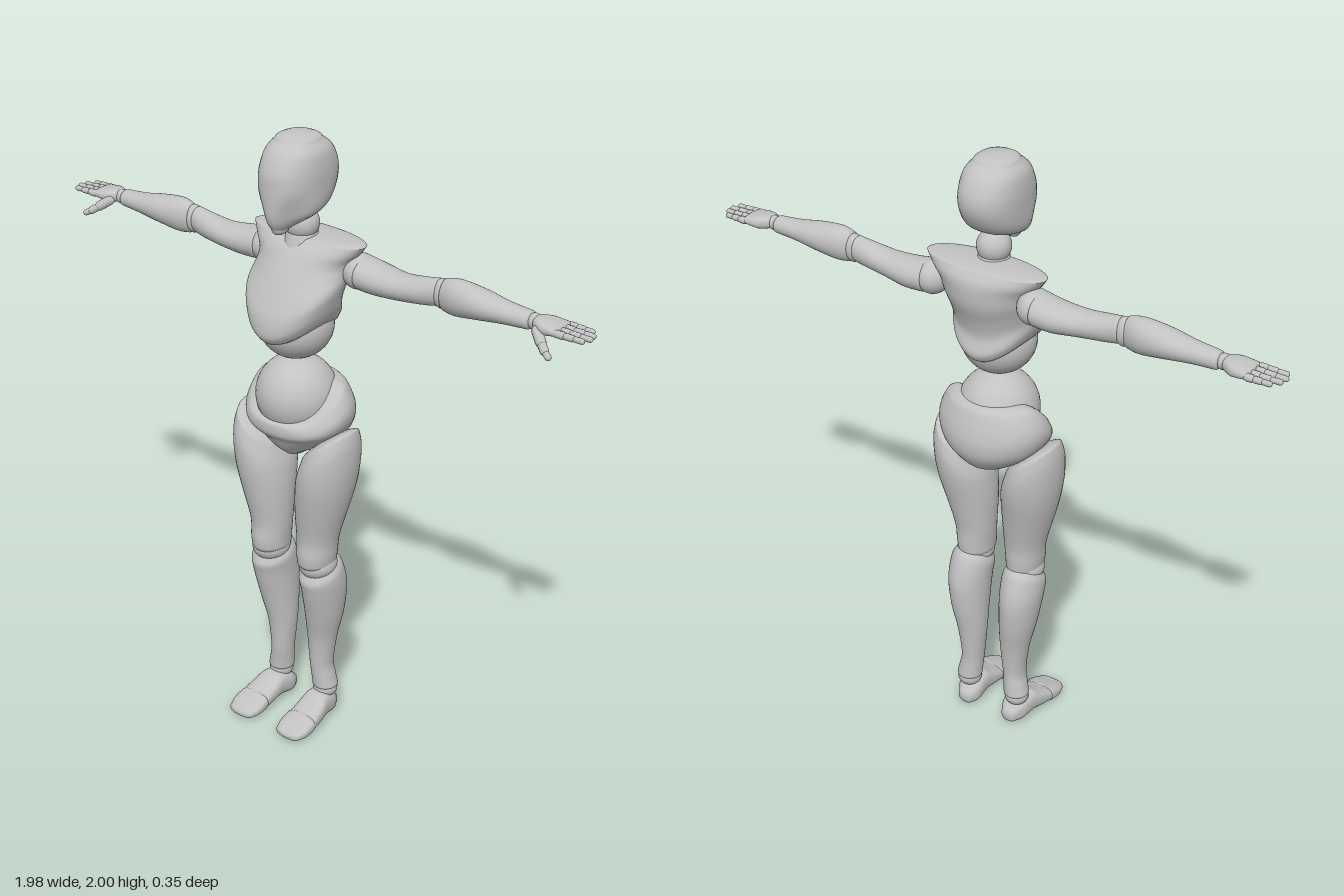
import * as THREE from 'three';

const clay = new THREE.MeshStandardMaterial({ color: 0xc2c2c2 });
clay.name = 'lightGreyClay';

const clamp = THREE.MathUtils.clamp;
const smooth = THREE.MathUtils.smoothstep;

// Smooth value between neighbouring sections
function spline(rows, k, u) {
  const i = Math.min(Math.floor(u), rows.length - 2), f = u - i;
  const at = (n) => rows[clamp(n, 0, rows.length - 1)][k];
  const p0 = at(i - 1), p1 = at(i), p2 = at(i + 1), p3 = at(i + 2);
  return p1 + 0.5 * f * (p2 - p0 + f * (2 * p0 - 5 * p1 + 4 * p2 - p3 + f * (3 * (p1 - p2) + p3 - p0)));
}

// Closed smooth body from sections [t, aMin, aMax, bMin, bMax] with rising t.
// axis y: a = x, b = z;  axis x: a = z, b = y;  axis z: a = y, b = x
function loft(rows, { axis = 'y', cap = 0.02, power = 2, sides = 40, steps = 6, warp } = {}) {
  const rings = [];
  const n = (rows.length - 1) * steps;
  const ring = (u, dt, s) => {
    const [t, a0, a1, b0, b1] = [0, 1, 2, 3, 4].map((k) => spline(rows, k, u));
    rings.push([t + dt, (a0 + a1) / 2, s * (a1 - a0) / 2, (b0 + b1) / 2, s * (b1 - b0) / 2]);
  };
  const dome = [0.02, 0.35, 0.65, 0.87, 0.97];
  for (const s of dome) ring(0, -cap * Math.sqrt(1 - s * s), s);
  for (let i = 0; i <= n; i++) ring(i / steps, 0, 1);
  for (const s of dome.slice().reverse()) ring(rows.length - 1, cap * Math.sqrt(1 - s * s), s);

  const pos = [], idx = [];
  const bend = (v) => Math.sign(v) * Math.abs(v) ** (2 / power);
  const v = new THREE.Vector3();
  for (const [t, ca, ra, cb, rb] of rings) {
    for (let j = 0; j < sides; j++) {
      const q = (j / sides) * Math.PI * 2;
      const a = ca + ra * bend(Math.cos(q)), b = cb + rb * bend(Math.sin(q));
      if (axis === 'y') v.set(a, t, b);
      else if (axis === 'x') v.set(t, b, a);
      else v.set(b, a, t);
      if (warp) warp(v);
      pos.push(v.x, v.y, v.z);
    }
  }
  for (let i = 0; i < rings.length - 1; i++) {
    for (let j = 0; j < sides; j++) {
      const k = (j + 1) % sides, p = i * sides, q = p + sides;
      idx.push(p + j, q + j, p + k, p + k, q + j, q + k);
    }
  }
  const last = (rings.length - 1) * sides;
  for (let j = 1; j < sides - 1; j++) idx.push(0, j, j + 1, last, last + j + 1, last + j);
  const g = new THREE.BufferGeometry();
  g.setAttribute('position', new THREE.Float32BufferAttribute(pos, 3));
  g.setIndex(idx);
  g.computeVertexNormals();
  return g;
}

function ball(x, y, z, rx, ry = rx, rz = rx) {
  return new THREE.SphereGeometry(1, 36, 24).scale(rx, ry, rz).translate(x, y, z);
}

// Capsule between two points
function bone(from, to, r) {
  const a = new THREE.Vector3(...from), b = new THREE.Vector3(...to), d = b.clone().sub(a);
  const g = new THREE.CapsuleGeometry(r, d.length(), 5, 12);
  g.applyQuaternion(new THREE.Quaternion().setFromUnitVectors(new THREE.Vector3(0, 1, 0), d.normalize()));
  return g.translate(...a.add(b).multiplyScalar(0.5).toArray());
}

function mirrored(geometry) {
  const g = geometry.clone().scale(-1, 1, 1);
  const i = g.index.array;
  for (let k = 0; k < i.length; k += 3) [i[k], i[k + 1]] = [i[k + 1], i[k]];
  return g;
}

export function createModel() {
  const model = new THREE.Group();
  model.name = 'jointedFigure';
  const add = (name, g) => {
    const m = new THREE.Mesh(g, clay);
    m.name = name;
    model.add(m);
  };
  const pair = (name, g) => {
    add(name + 'Left', g);
    add(name + 'Right', mirrored(g));
  };

  // Head: round skull with flat sides, face tapering to a narrow chin
  add('head', loft([
    [1.725, -0.03, 0.03, 0.045, 0.1], [1.745, -0.055, 0.055, 0, 0.113],
    [1.77, -0.082, 0.082, -0.075, 0.12], [1.8, -0.092, 0.092, -0.118, 0.122],
    [1.85, -0.095, 0.095, -0.146, 0.121], [1.9, -0.095, 0.095, -0.147, 0.115],
    [1.95, -0.087, 0.087, -0.122, 0.09], [1.98, -0.065, 0.065, -0.085, 0.055],
  ], {
    cap: 0.02, power: 2.3,
    warp: (v) => { v.x *= 1 - 0.45 * smooth(v.z, 0.02, 0.12) * smooth(1.86 - v.y, 0, 0.1); },
  }));
  add('neckBall', ball(0, 1.715, -0.032, 0.053));
  add('neckBase', loft([[1.64, -0.06, 0.06, -0.1, 0.03], [1.685, -0.047, 0.047, -0.082, 0.016]], { cap: 0.01 }));

  // Torso: rib cage with an arched lower rim over a round abdomen
  add('chest', loft([
    [1.375, -0.13, 0.13, -0.13, 0.13], [1.4, -0.142, 0.142, -0.14, 0.145],
    [1.45, -0.153, 0.153, -0.128, 0.14], [1.5, -0.158, 0.158, -0.138, 0.118],
    [1.56, -0.158, 0.158, -0.16, 0.085], [1.61, -0.162, 0.162, -0.166, 0.056],
    [1.645, -0.188, 0.188, -0.162, 0.032], [1.672, -0.208, 0.208, -0.145, 0.005],
  ], {
    cap: 0.012, sides: 56,
    warp: (v) => { v.y += clamp((1.6 - v.y) / 0.23, 0, 1) * 0.09 * (v.x / 0.14) ** 2; },
  }));
  add('abdomen', ball(0, 1.4, -0.005, 0.117, 0.11, 0.117));
  add('waistBall', ball(0, 1.165, -0.008, 0.129));
  add('hips', loft([
    [0.97, -0.03, 0.03, -0.07, 0.035], [1.0, -0.085, 0.085, -0.13, 0.07],
    [1.05, -0.15, 0.15, -0.168, 0.1], [1.1, -0.18, 0.18, -0.177, 0.118],
    [1.15, -0.185, 0.185, -0.168, 0.122], [1.2, -0.165, 0.165, -0.15, 0.12],
    [1.215, -0.148, 0.148, -0.138, 0.112],
  ], {
    cap: 0.012, sides: 56,
    warp: (v) => { v.y -= clamp((v.y - 1.04) / 0.18, 0, 1) * 0.11 * smooth(v.z, -0.06, 0.11); },
  }));

  // Legs
  pair('thigh', loft([
    [0.61, 0.036, 0.152, -0.066, 0.076], [0.64, 0.034, 0.156, -0.068, 0.078],
    [0.7, 0.029, 0.163, -0.07, 0.074], [0.8, 0.026, 0.19, -0.09, 0.09],
    [0.9, 0.03, 0.218, -0.113, 0.104], [0.97, 0.036, 0.222, -0.12, 0.104],
    [1.02, 0.052, 0.212, -0.112, 0.09],
  ], { cap: 0.03, warp: (v) => { v.y += smooth(v.y, 0.8, 1.02) * 0.75 * (v.x - 0.13); } }));
  pair('kneeBall', ball(0.097, 0.595, 0.003, 0.06, 0.05, 0.066));
  pair('shin', loft([
    [0.115, 0.052, 0.136, -0.085, 0], [0.15, 0.05, 0.128, -0.082, 0.002],
    [0.2, 0.046, 0.12, -0.08, 0.006], [0.3, 0.037, 0.132, -0.09, 0.014],
    [0.4, 0.035, 0.154, -0.106, 0.036], [0.5, 0.034, 0.167, -0.11, 0.06],
    [0.56, 0.032, 0.167, -0.088, 0.068], [0.585, 0.04, 0.158, -0.072, 0.06],
  ], { cap: 0.015, warp: (v) => { v.y -= smooth(v.y, 0.5, 0.585) * 0.35 * (v.z + 0.01); } }));
  pair('ankleBall', ball(0.095, 0.1, -0.042, 0.04, 0.035, 0.04));
  pair('foot', loft([
    [-0.078, 0.008, 0.06, 0.06, 0.115], [-0.05, 0.004, 0.085, 0.047, 0.132],
    [0, 0.012, 0.098, 0.048, 0.142], [0.04, 0.01, 0.08, 0.047, 0.15],
    [0.085, 0.005, 0.06, 0.046, 0.156],
  ], { axis: 'z', cap: 0.014, power: 2.6 }));
  pair('toes', loft([
    [0.09, 0.003, 0.06, 0.044, 0.158], [0.13, 0.002, 0.046, 0.044, 0.158],
    [0.158, 0.003, 0.035, 0.053, 0.148],
  ], { axis: 'z', cap: 0.018, power: 2.8 }));

  // Arms, held straight out
  pair('shoulderBall', ball(0.18, 1.588, -0.085, 0.052, 0.055, 0.06));
  pair('upperArm', loft([
    [0.2, -0.15, -0.022, 1.535, 1.638], [0.26, -0.148, -0.025, 1.533, 1.628],
    [0.34, -0.132, -0.03, 1.54, 1.622], [0.42, -0.122, -0.04, 1.548, 1.632],
    [0.465, -0.117, -0.05, 1.555, 1.64],
  ], { axis: 'x', cap: 0.015 }));
  pair('elbowBall', ball(0.482, 1.597, -0.083, 0.03, 0.046, 0.032));
  pair('forearm', loft([
    [0.495, -0.112, -0.048, 1.548, 1.648], [0.54, -0.126, -0.036, 1.544, 1.655],
    [0.62, -0.13, -0.032, 1.555, 1.646], [0.7, -0.12, -0.042, 1.565, 1.632],
    [0.78, -0.113, -0.052, 1.57, 1.625],
  ], { axis: 'x', cap: 0.012 }));
  pair('wristBall', ball(0.798, 1.598, -0.082, 0.024));
  pair('palm', loft([
    [0.81, -0.112, -0.052, 1.58, 1.62], [0.84, -0.128, -0.038, 1.575, 1.62],
    [0.885, -0.132, -0.038, 1.583, 1.613],
  ], { axis: 'x', cap: 0.01, power: 2.5, sides: 24, steps: 3 }));

  // Fingers in three joints each, then the lowered thumb
  const fingers = [[-0.123, 0.966], [-0.098, 0.985], [-0.073, 0.99], [-0.048, 0.98]];
  fingers.forEach(([z, tip], f) => {
    const step = (tip - 0.89) / 3;
    for (let s = 0; s < 3; s++) {
      const x = 0.89 + s * step, r = 0.0115 - s * 0.0015;
      pair(`finger${f + 1}Joint${s + 1}`, bone([x, 1.597, z], [x + step - r, 1.597, z], r));
    }
  });
  const thumb = [[0.825, 1.588, -0.05], [0.852, 1.568, -0.03], [0.875, 1.552, -0.015], [0.893, 1.542, -0.006]];
  for (let s = 0; s < 3; s++) pair(`thumbJoint${s + 1}`, bone(thumb[s], thumb[s + 1], 0.016 - s * 0.003));

  return model;
}
